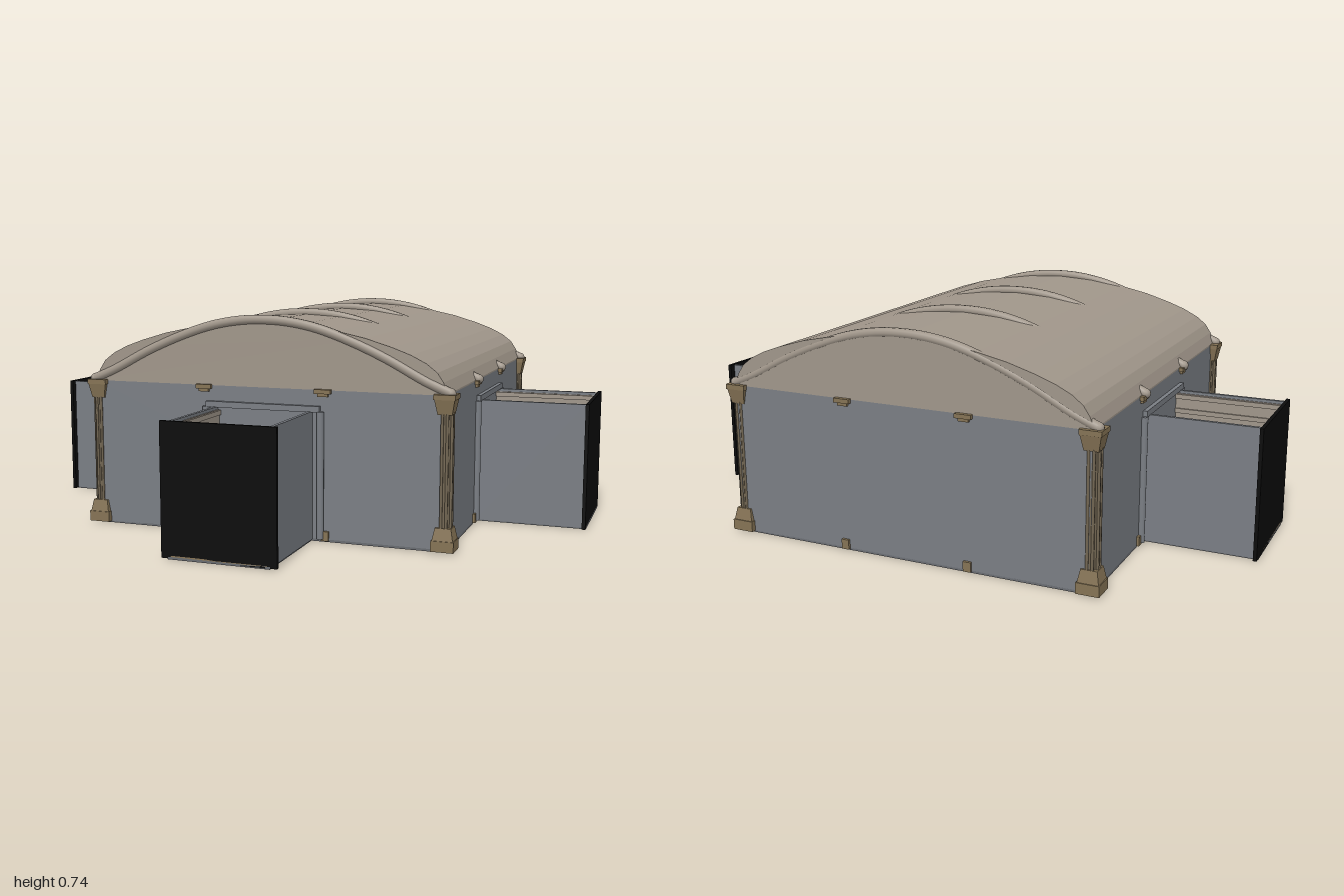
import * as THREE from 'three';

const mat = (name, color) => {
  const m = new THREE.MeshStandardMaterial({ color });
  m.name = name;
  return m;
};

export function createModel() {
  const root = new THREE.Group();
  root.name = 'vaultedHall';
  const grey = mat('wallGrey', 0x7a7e84);
  const under = mat('foundationGrey', 0x686b70);
  const roofMat = mat('roofStone', 0xa0968a);
  const tan = mat('tanStone', 0x857355);
  const shaftMat = mat('columnStone', 0x746854);
  const black = mat('blackPanel', 0x0b0b0b);

  const add = (parent, name, geo, m, x = 0, y = 0, z = 0) => {
    const mesh = new THREE.Mesh(geo, m);
    mesh.name = name;
    mesh.position.set(x, y, z);
    parent.add(mesh);
    return mesh;
  };
  const box = (parent, name, m, w, h, d, x, y, z) =>
    add(parent, name, new THREE.BoxGeometry(w, h, d), m, x, y, z);

  const HALF = 0.62, FRONT = 0.455, BACK = -0.81;
  const DEPTH = FRONT - BACK, MID = (FRONT + BACK) / 2;
  const WALL_TOP = 0.5, PASSAGE_TOP = 0.43;

  // Hall floor: grey slab with a tan surface
  box(root, 'foundation', under, HALF * 2, 0.008, DEPTH, 0, 0.004, MID);
  box(root, 'hallFloor', tan, HALF * 2 - 0.02, 0.005, DEPTH - 0.02, 0, 0.0095, MID);

  // Wall panel, with an arched doorway where a passage joins it
  const wall = (parent, width, door) => {
    const s = new THREE.Shape();
    s.moveTo(-width / 2, 0.005);
    s.lineTo(width / 2, 0.005);
    s.lineTo(width / 2, WALL_TOP);
    s.lineTo(-width / 2, WALL_TOP);
    s.closePath();
    if (door) {
      const h = new THREE.Path();
      h.moveTo(-0.095, 0.012);
      h.lineTo(-0.095, 0.27);
      h.absarc(0, 0.27, 0.095, Math.PI, 0, true);
      h.lineTo(0.095, 0.012);
      h.closePath();
      s.holes.push(h);
    }
    const g = new THREE.ExtrudeGeometry(s, { depth: 0.02, bevelEnabled: false, curveSegments: 16 });
    add(parent, 'wall', g, grey, 0, 0, -0.02);
  };

  // Open-topped passage running outward along local +z
  const passage = (parent, length) => {
    const p = new THREE.Group();
    p.name = 'passage';
    parent.add(p);
    box(p, 'passageFoundation', under, 0.34, 0.008, length, 0, 0.004, length / 2);
    box(p, 'passageFloor', tan, 0.32, 0.005, length, 0, 0.0095, length / 2);
    box(p, 'endPanel', black, 0.385, PASSAGE_TOP, 0.012, 0, PASSAGE_TOP / 2 + 0.003, length - 0.006);
    box(p, 'lintel', grey, 0.4, 0.02, 0.014, 0, 0.438, 0.007);
    for (const s of [-1, 1]) {
      box(p, 'passageWall', grey, 0.012, PASSAGE_TOP - 0.005, length - 0.012,
        s * 0.167, PASSAGE_TOP / 2 + 0.0025, (length - 0.012) / 2);
      box(p, 'passageLining', roofMat, 0.004, PASSAGE_TOP - 0.02, length - 0.014,
        s * 0.159, PASSAGE_TOP / 2, (length - 0.014) / 2);
      for (const y of [0.05, 0.3, 0.36, 0.41])
        box(p, 'liningMoulding', roofMat, 0.008, 0.016, length - 0.014, s * 0.155, y, (length - 0.014) / 2);
      add(p, 'doorPilaster', new THREE.CylinderGeometry(0.012, 0.012, 0.42, 12), grey, s * 0.202, 0.22, 0.006);
    }
  };

  // Four sides of the hall
  const sides = [
    ['frontSide', 0, 0, FRONT, HALF * 2, 0.365],
    ['leftSide', Math.PI / 2, HALF, MID, DEPTH, 0.38],
    ['rightSide', -Math.PI / 2, -HALF, MID, DEPTH, 0.38],
    ['backSide', Math.PI, 0, BACK, HALF * 2, 0],
  ];
  for (const [name, angle, x, z, width, length] of sides) {
    const g = new THREE.Group();
    g.name = name;
    g.position.set(x, 0, z);
    g.rotation.y = angle;
    root.add(g);
    wall(g, width, length > 0);
    if (length) passage(g, length);
    for (const s of [-1, 1]) {
      box(g, 'bracket', tan, 0.055, 0.014, 0.02, s * 0.21, 0.496, 0.004);
      box(g, 'bracketFoot', tan, 0.035, 0.012, 0.014, s * 0.21, 0.485, 0.002);
      box(g, 'pilasterFoot', tan, 0.026, 0.032, 0.012, s * 0.217, 0.02, 0.003);
    }
  }

  // Vaulted roof with solid gables
  const half = [[0.62, 0.505], [0.605, 0.54], [0.585, 0.57], [0.55, 0.597], [0.5, 0.622],
    [0.44, 0.644], [0.35, 0.671], [0.25, 0.692], [0.13, 0.71], [0, 0.717]];
  const roof = new THREE.Shape();
  roof.moveTo(-HALF, WALL_TOP);
  roof.lineTo(HALF, WALL_TOP);
  half.forEach(([x, y]) => roof.lineTo(x, y));
  half.slice(0, -1).reverse().forEach(([x, y]) => roof.lineTo(-x, y));
  roof.closePath();
  add(root, 'vaultedRoof', new THREE.ExtrudeGeometry(roof, { depth: DEPTH, bevelEnabled: false }), roofMat, 0, 0, BACK);

  // Four arched ribs; the inner two surface only at the crown and the eaves
  const ribHalf = [[0.628, 0.507], [0.55, 0.54], [0.42, 0.608], [0.3, 0.66], [0.18, 0.7], [0.08, 0.718]];
  const ribPoints = [
    ...ribHalf.map(([x, y]) => new THREE.Vector3(-x, y, 0)),
    new THREE.Vector3(0, 0.722, 0),
    ...ribHalf.slice().reverse().map(([x, y]) => new THREE.Vector3(x, y, 0)),
  ];
  const ribGeo = new THREE.TubeGeometry(new THREE.CatmullRomCurve3(ribPoints), 48, 0.016, 10);
  const capGeo = new THREE.SphereGeometry(0.0165, 12, 8);
  for (const z of [0.449, 0.032, -0.382, -0.797]) {
    add(root, 'roofRib', ribGeo, roofMat, 0, 0, z);
    for (const s of [-1, 1]) add(root, 'ribEnd', capGeo, roofMat, s * 0.628, 0.507, z);
  }

  // Corner columns: stepped plinth, fluted shaft, flared capital
  for (const x of [-0.612, 0.612]) for (const z of [0.438, -0.79]) {
    const c = new THREE.Group();
    c.name = 'cornerColumn';
    c.position.set(x, 0, z);
    root.add(c);
    box(c, 'plinth', tan, 0.074, 0.035, 0.074, 0, 0.0225, 0);
    const taper = (name, r0, r1, y0, y1) => {
      const geo = new THREE.CylinderGeometry(r1, r0, y1 - y0, 4).toNonIndexed();
      geo.rotateY(Math.PI / 4);
      geo.computeVertexNormals();
      add(c, name, geo, tan, 0, (y0 + y1) / 2, 0);
    };
    taper('baseMoulding', 0.048, 0.037, 0.04, 0.08);
    add(c, 'shaft', new THREE.CylinderGeometry(0.02, 0.021, 0.37, 12), shaftMat, 0, 0.26, 0);
    for (let i = 0; i < 8; i++) {
      const a = (i + 0.5) * Math.PI / 4;
      add(c, 'shaftRib', new THREE.CylinderGeometry(0.005, 0.005, 0.37, 6), shaftMat,
        Math.cos(a) * 0.022, 0.26, Math.sin(a) * 0.022);
    }
    taper('capital', 0.033, 0.046, 0.44, 0.488);
    box(c, 'abacus', tan, 0.07, 0.016, 0.07, 0, 0.496, 0);
  }
  return root;
}
